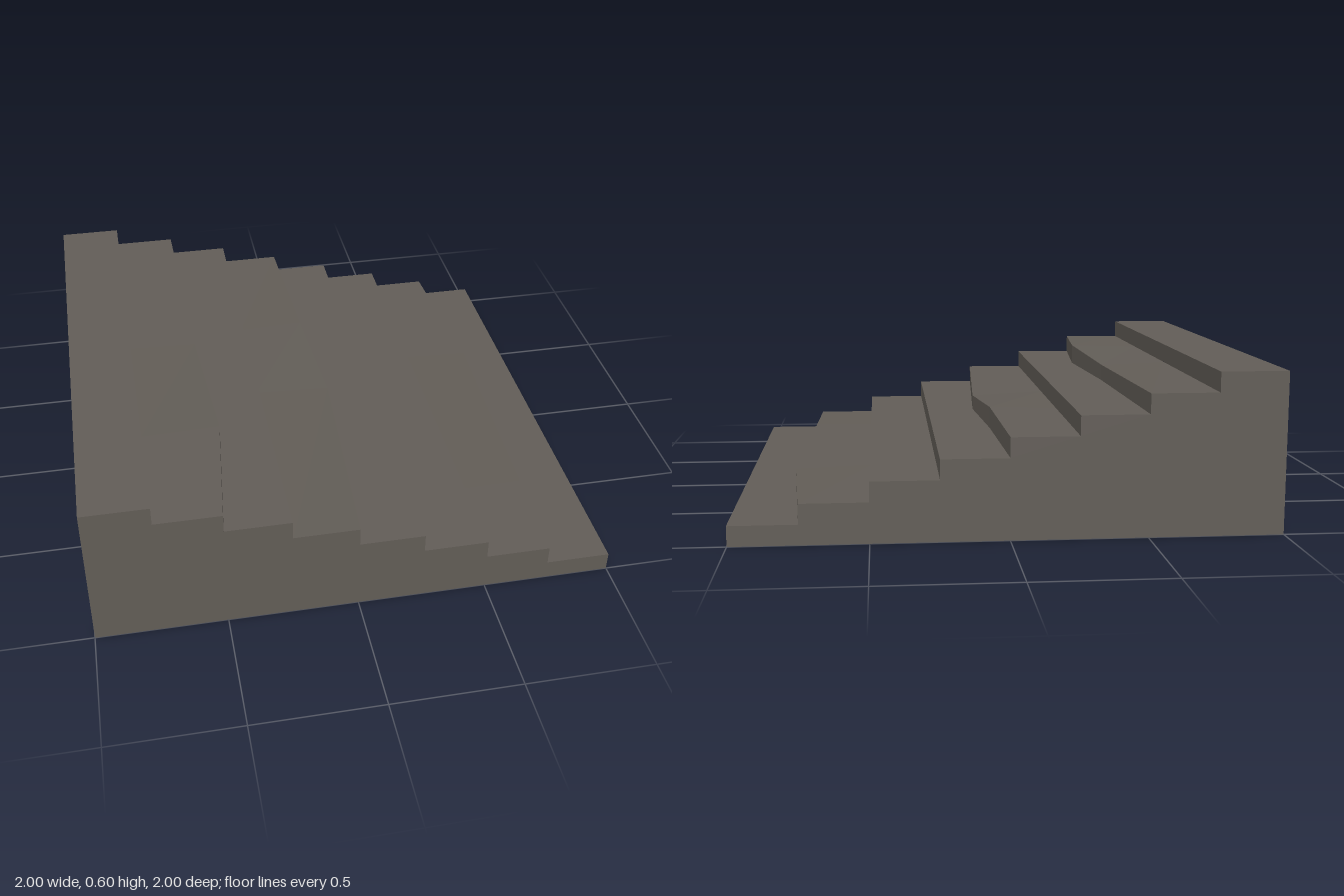
import * as THREE from 'three';

const STEPS = 8, RUN = 0.25, RISE = 0.075;

// Worn nosings, as [z, outward bulge, lift] from front to back, keyed by step number from the top
const WORN = {
  1: [[1, 0, 0], [0.5, 0.05, 0.008], [-0.1, 0.018, -0.01], [-1, 0, 0]],
  3: [[1, 0, 0], [0.1, 0.053, -0.015], [-0.38, 0.02, 0.01], [-1, 0, 0]],
  6: [[1, 0, 0], [0.6, 0.01, 0.005], [-0.35, 0.048, -0.012], [-1, 0, 0]],
};
const STRAIGHT = [[1, 0, 0], [-1, 0, 0]];

// Open strip joining two rows of points
function strip(rowA, rowB) {
  const pos = [];
  for (let i = 0; i < rowA.length - 1; i++) {
    const [a, b, c, d] = [rowA[i], rowB[i], rowB[i + 1], rowA[i + 1]];
    pos.push(...a, ...b, ...c, ...a, ...c, ...d);
  }
  const g = new THREE.BufferGeometry();
  g.setAttribute('position', new THREE.Float32BufferAttribute(pos, 3));
  g.computeVertexNormals();
  return g;
}

export function createModel() {
  const group = new THREE.Group();
  const stone = new THREE.MeshStandardMaterial({
    color: 0x625d57, side: THREE.DoubleSide, flatShading: true,
  });
  stone.name = 'grey stone';

  const add = (name, geometry) => {
    const mesh = new THREE.Mesh(geometry, stone);
    mesh.name = name;
    group.add(mesh);
    return mesh;
  };

  // Treads and risers, from the top step down
  for (let i = 0; i < STEPS; i++) {
    const x0 = -1 + i * RUN, x1 = x0 + RUN, y = (STEPS - i) * RISE;
    const edge = WORN[i] || STRAIGHT;
    const back = edge.map(([z]) => [x0, y, z]);
    const nose = edge.map(([z, out, lift]) => [x1 + out, y + lift, z]);
    const foot = edge.map(([z, out]) => [x1 + out, y - RISE, z]);
    add(`tread${i + 1}`, strip(back, nose));
    add(`riser${i + 1}`, strip(nose, foot));
  }

  // Stepped side walls; the underside and the tall end stay open
  const outline = new THREE.Shape();
  outline.moveTo(-1, 0);
  outline.lineTo(1, 0);
  for (let i = STEPS - 1; i >= 0; i--) {
    const y = (STEPS - i) * RISE;
    outline.lineTo(-1 + (i + 1) * RUN, y);
    outline.lineTo(-1 + i * RUN, y);
  }
  const wall = new THREE.ShapeGeometry(outline);
  add('frontWall', wall).position.z = 1;
  // Turned over so that its outside faces -z
  const rear = wall.clone();
  const index = Array.from(rear.index.array).reverse();
  rear.setIndex(index);
  rear.computeVertexNormals();
  add('backWall', rear).position.z = -1;

  return group;
}
